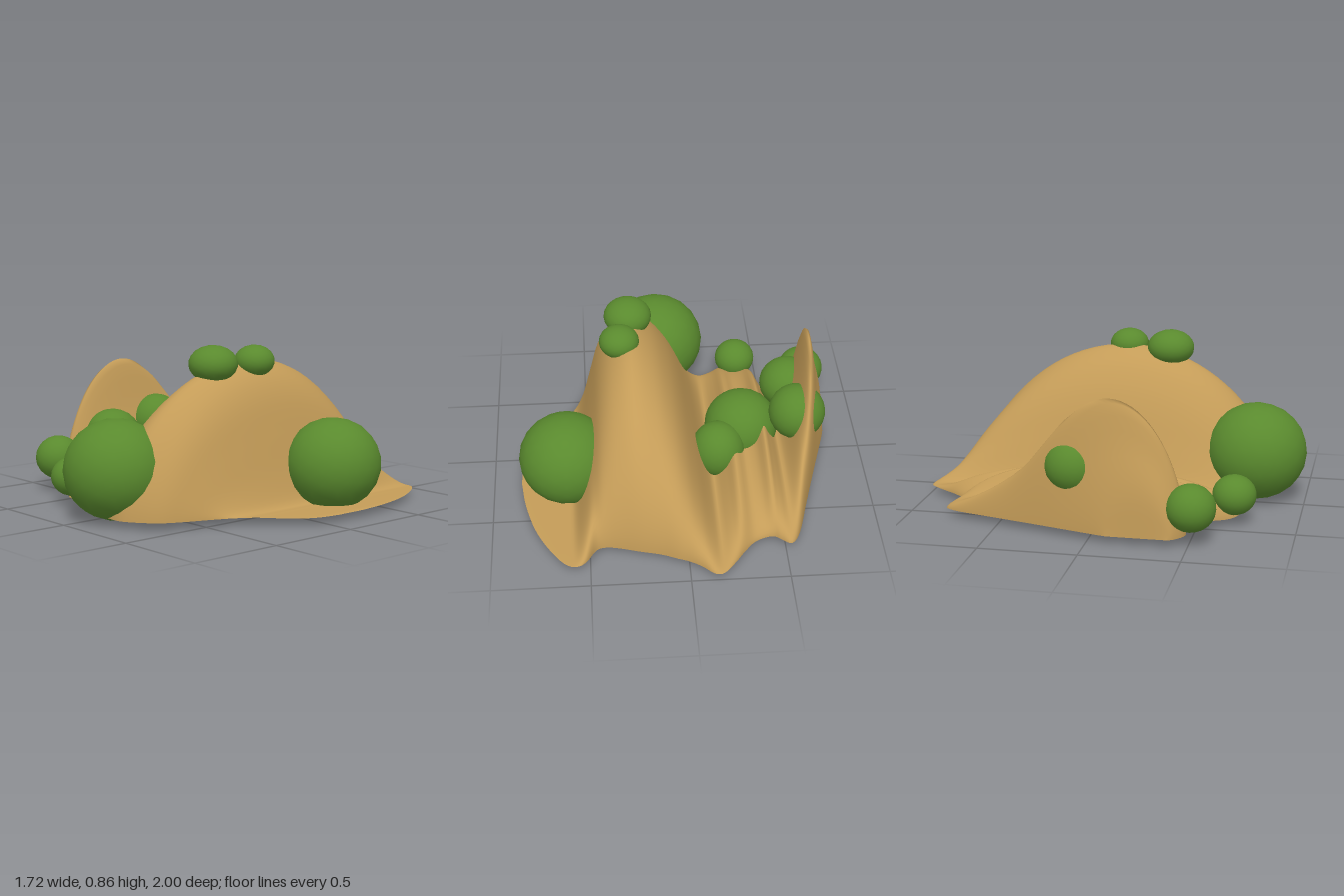
import * as THREE from 'three';

const BASE = 0.04;

// Cross-sections across the ridges: [x, ridge height above base, back z, front z]
const SECTIONS = [
  [-0.815, 0, 0.1, 0.40], [-0.80, 0.23, 0.04, 0.43], [-0.75, 0.45, -0.13, 0.47],
  [-0.70, 0.665, -0.30, 0.48], [-0.64, 0.40, -0.51, 0.45], [-0.58, 0.19, -0.72, 0.44],
  [-0.53, 0.12, -0.80, 0.47], [-0.48, 0.20, -0.77, 0.57], [-0.445, 0.26, -0.745, 0.64],
  [-0.40, 0.19, -0.75, 0.68], [-0.34, 0.16, -0.78, 0.70], [-0.28, 0.20, -0.85, 0.70],
  [-0.23, 0.12, -0.92, 0.68], [-0.17, 0.045, -0.99, 0.66], [-0.12, 0.12, -0.995, 0.68],
  [-0.06, 0.29, -0.94, 0.72], [0, 0.46, -0.90, 0.77], [0.06, 0.58, -0.875, 0.81],
  [0.14, 0.68, -0.84, 0.84], [0.25, 0.74, -0.81, 0.84], [0.35, 0.68, -0.78, 0.78],
  [0.42, 0.56, -0.77, 0.71], [0.47, 0.37, -0.79, 0.61], [0.52, 0.16, -0.87, 0.48],
  [0.57, 0.02, -0.90, 0.37], [0.63, 0.004, -0.875, 0.28], [0.71, 0.004, -0.76, 0.21],
  [0.78, 0.004, -0.61, 0.14], [0.83, 0.004, -0.42, 0.05], [0.852, 0, -0.25, -0.07],
];

// Bushes: [name, x, y, z, radius, vertical radius]
const BUSHES = [
  ['frontBush', 0.085, 0.263, 0.735, 0.268, 0.258],
  ['sideBush', 0.605, 0.242, -0.28, 0.25, 0.24],
  ['summitBushFront', 0.255, 0.77, 0.24, 0.127, 0.096],
  ['summitBushBack', 0.308, 0.773, 0.003, 0.105, 0.083],
  ['cornerBush', -0.735, 0.186, 0.505, 0.126, 0.12],
  ['smallFrontBush', -0.373, 0.153, 0.675, 0.113, 0.104],
  ['valleyBushLarge', -0.34, 0.21, -0.02, 0.198, 0.193],
  ['valleyBushSmall', -0.20, 0.185, -0.19, 0.142, 0.155],
  ['slopeBushBack', -0.63, 0.345, -0.10, 0.152, 0.15],
  ['slopeBushFront', -0.62, 0.30, 0.22, 0.155, 0.14],
];

// Sheet spanning the cross-sections; raised for the hills, flat for the underside
function sheet(raised) {
  const spline = (pick) => new THREE.CatmullRomCurve3(
    SECTIONS.map((s) => new THREE.Vector3(...pick(s))), false, 'catmullrom', 0.5);
  const ridge = spline(([x, h]) => [x, h, 0]);
  const edges = spline(([x, , zb, zf]) => [x, zb, zf]);
  const nx = (SECTIONS.length - 1) * 4, nz = 40;
  const pos = [], index = [];
  for (let i = 0; i <= nx; i++) {
    const r = ridge.getPoint(i / nx), e = edges.getPoint(i / nx);
    for (let j = 0; j <= nz; j++) {
      const a = (j / nz - 0.5) * Math.PI;
      const z = (e.y + e.z) / 2 + Math.sin(a) * (e.z - e.y) / 2;
      const lift = raised ? Math.max(r.y, 0) * Math.pow(Math.max(Math.cos(a), 0), 1.2) : 0;
      pos.push(r.x, BASE + lift, z);
      if (i < nx && j < nz) {
        const p = i * (nz + 1) + j, q = p + nz + 1;
        if (raised) index.push(p, p + 1, q, q, p + 1, q + 1);
        else index.push(p, q, p + 1, q, q + 1, p + 1);
      }
    }
  }
  const g = new THREE.BufferGeometry();
  g.setAttribute('position', new THREE.Float32BufferAttribute(pos, 3));
  g.setIndex(index);
  g.computeVertexNormals();
  return g;
}

export function createModel() {
  const model = new THREE.Group();
  model.name = 'hillyTerrain';
  const sand = new THREE.MeshStandardMaterial({ color: 0xc49c58 });
  sand.name = 'sand';
  const leaf = new THREE.MeshStandardMaterial({ color: 0x5a8a2e });
  leaf.name = 'leafGreen';

  const add = (name, geometry, material) => {
    const mesh = new THREE.Mesh(geometry, material);
    mesh.name = name;
    model.add(mesh);
    return mesh;
  };

  // Ridged ground and its flat underside
  add('hills', sheet(true), sand);
  add('underside', sheet(false), sand);

  // Rounded bushes scattered over the hills
  const ball = new THREE.IcosahedronGeometry(1, 3);
  for (const [name, x, y, z, r, ry] of BUSHES) {
    const bush = add(name, ball, leaf);
    bush.position.set(x, y, z);
    bush.scale.set(r, ry, r);
  }
  return model;
}
